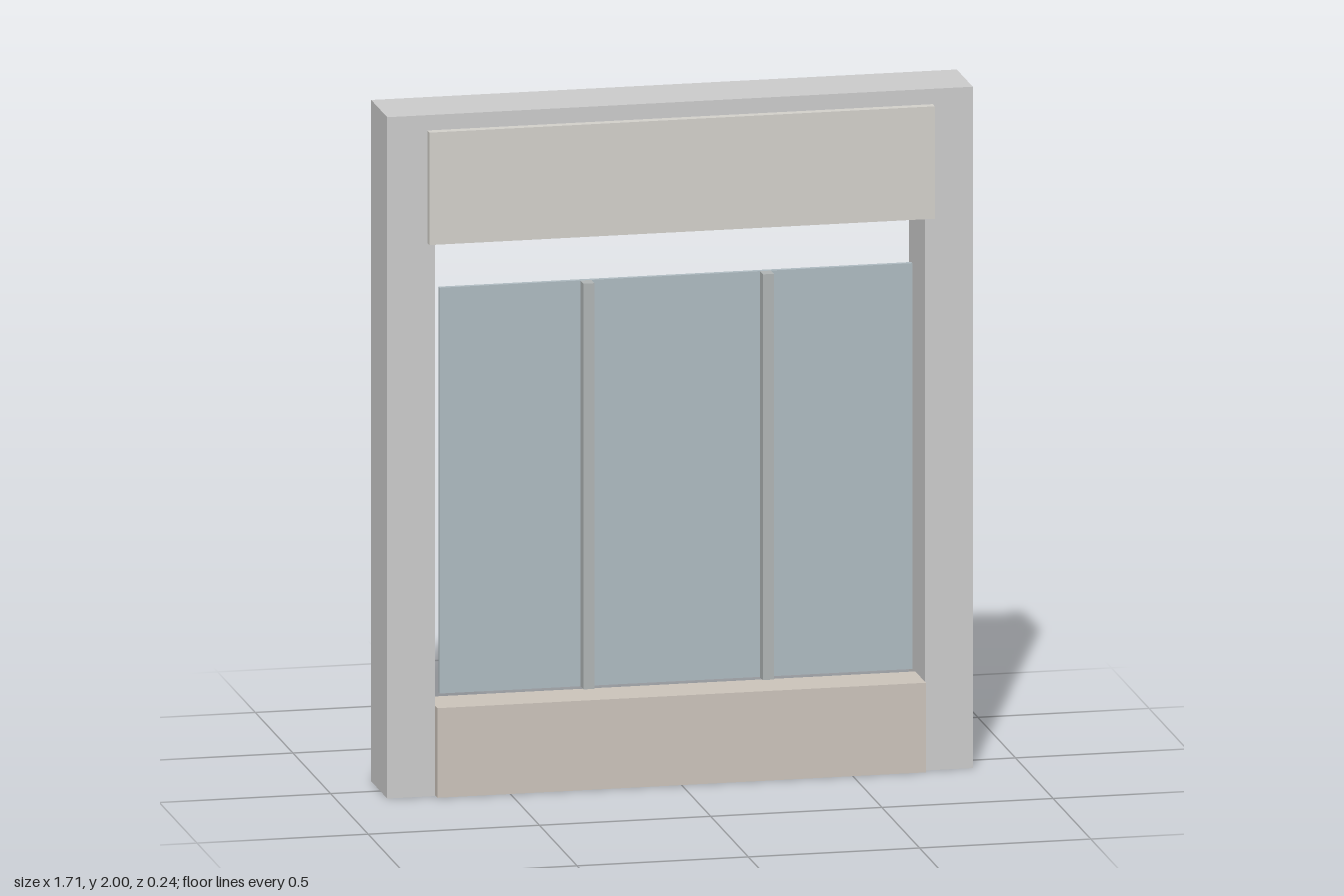
import * as THREE from 'three';

const material = (color) => new THREE.MeshStandardMaterial({ color });

// Box given by its [min, max] extent on each axis
function box(name, [x0, x1], [y0, y1], [z0, z1], mat) {
  const mesh = new THREE.Mesh(new THREE.BoxGeometry(x1 - x0, y1 - y0, z1 - z0), mat);
  mesh.position.set((x0 + x1) / 2, (y0 + y1) / 2, (z0 + z1) / 2);
  mesh.name = name;
  return mesh;
}

export function createModel() {
  const group = new THREE.Group();
  group.name = 'shopfront';
  const grey = material(0xcccccc);
  const signMat = material(0xd2d0ca);
  const baseMat = material(0xcbc3ba);
  const glassMat = material(0xaebac0);
  const mullionMat = material(0xb0b5b5);

  // Surround: two posts and a lintel in one extruded outline, open at the bottom
  const W = 0.855, inner = 0.715, lintel = 1.887, back = -0.12, front = 0.093;
  const outline = new THREE.Shape([
    [-W, 0], [-inner, 0], [-inner, lintel], [inner, lintel],
    [inner, 0], [W, 0], [W, 2], [-W, 2],
  ].map(([x, y]) => new THREE.Vector2(x, y)));
  const frameGeo = new THREE.ExtrudeGeometry(outline, { depth: front - back, bevelEnabled: false });
  frameGeo.translate(0, 0, back);
  const frame = new THREE.Mesh(frameGeo, grey);
  frame.name = 'frame';
  group.add(frame);

  // Sign board and low wall under the window
  group.add(box('signBoard', [-0.738, 0.738], [1.625, 1.955], [0.05, 0.12], signMat));
  group.add(box('baseWall', [-0.713, 0.713], [0, 0.263], [-0.025, 0.115], baseMat));

  // Window pane with two upright bars on its front
  group.add(box('windowPane', [-0.69, 0.69], [0.287, 1.478], [0.025, 0.04], glassMat));
  for (const [name, x] of [['rightMullion', -0.263], ['leftMullion', 0.261]]) {
    group.add(box(name, [x - 0.016, x + 0.016], [0.287, 1.478], [0.04, 0.08], mullionMat));
  }
  return group;
}
